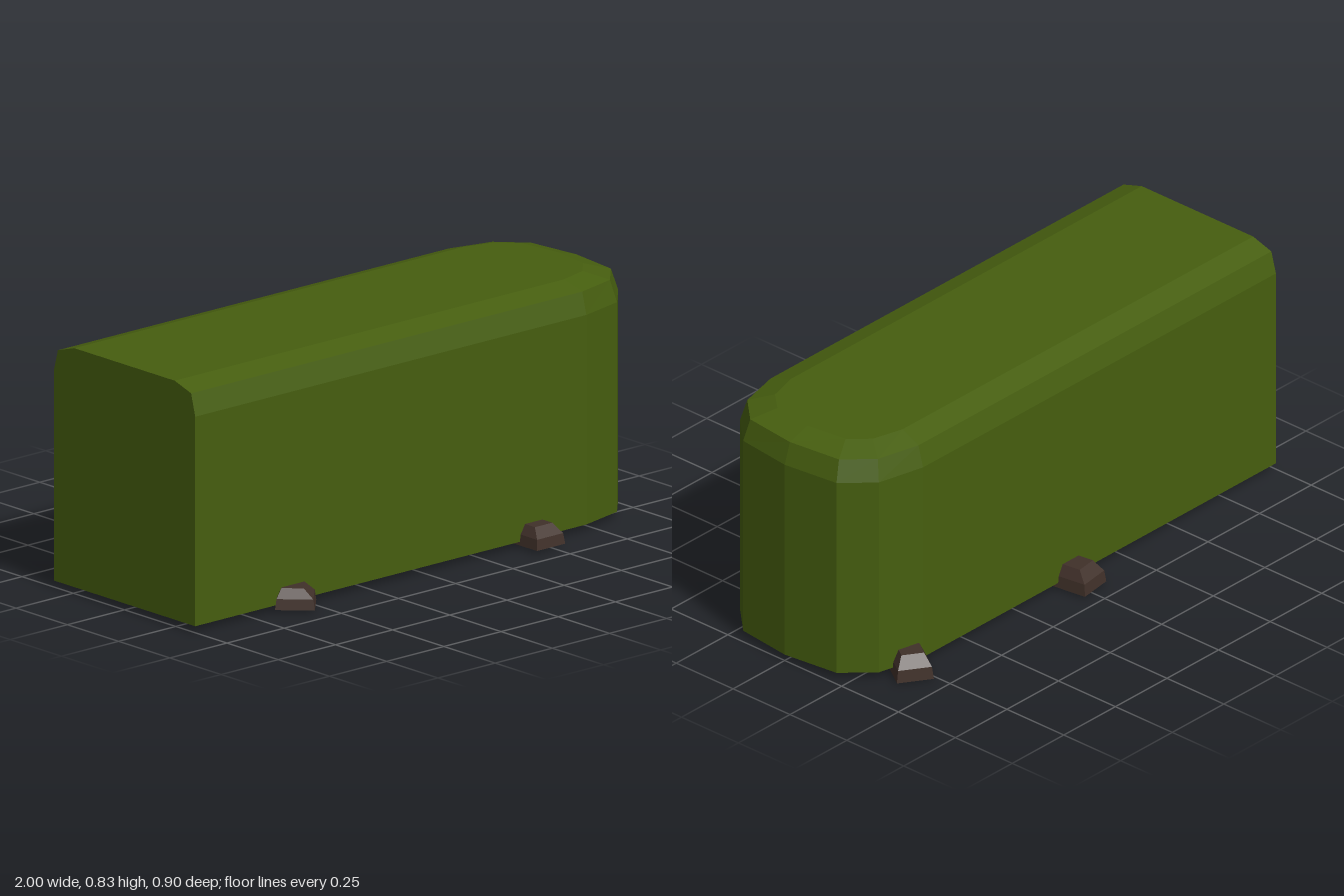
import * as THREE from 'three';

// Joins stacked rings of [x, z] points into a flat-faceted shell, closed on top, open below.
function loft(layers) {
  const pos = [];
  const tri = (...pts) => pts.forEach((p) => pos.push(...p));
  const rings = layers.map(({ y, pts }) => pts.map(([x, z]) => [x, y, z]));
  const n = rings[0].length;
  for (let k = 0; k < rings.length - 1; k++) {
    for (let i = 0; i < n; i++) {
      const j = (i + 1) % n;
      const [a, b, c, d] = [rings[k][i], rings[k][j], rings[k + 1][j], rings[k + 1][i]];
      tri(a, b, c);
      tri(a, c, d);
    }
  }
  const top = rings[rings.length - 1];
  for (let i = 1; i < n - 1; i++) tri(top[0], top[i], top[i + 1]);
  const geo = new THREE.BufferGeometry();
  geo.setAttribute('position', new THREE.Float32BufferAttribute(pos, 3));
  geo.computeVertexNormals();
  return geo;
}

// Mirrors the front half of an outline (ending on the centre line) to the back.
const mirrorZ = (half) => [...half, ...half.slice(0, -1).reverse().map(([x, z]) => [x, -z])];

const rect = (w, back, front) => [[-w, front], [w, front], [w, back], [-w, back]];

export function createModel() {
  const leaf = new THREE.MeshStandardMaterial({ color: 0x465e0f, side: THREE.DoubleSide, flatShading: true });
  leaf.name = 'leaf green';
  const rock = new THREE.MeshStandardMaterial({ color: 0x403029, side: THREE.DoubleSide, flatShading: true });
  rock.name = 'stone brown';

  const model = new THREE.Group();
  model.name = 'hedgeEnd';

  // Hedge: straight cut at -x, rounded at +x, bevelled top, hollow underneath
  const wall = mirrorZ([[-1, 0.345], [0.71, 0.345], [0.88, 0.305], [0.975, 0.205], [1, 0]]);
  const shoulder = mirrorZ([[-1, 0.325], [0.71, 0.325], [0.865, 0.287], [0.952, 0.195], [0.975, 0]]);
  const crown = mirrorZ([[-1, 0.245], [0.7, 0.245], [0.81, 0.215], [0.87, 0.15], [0.89, 0]]);
  const hedge = new THREE.Mesh(loft([
    { y: 0.022, pts: wall },
    { y: 0.735, pts: wall },
    { y: 0.81, pts: shoulder },
    { y: 0.835, pts: crown },
  ]), leaf);
  hedge.name = 'hedge';
  model.add(hedge);

  // Stones tucked under the edge of the hedge, each facing outwards
  const stoneGeo = loft([
    { y: 0, pts: rect(0.062, -0.065, 0.065) },
    { y: 0.036, pts: rect(0.057, -0.06, 0.06) },
    { y: 0.068, pts: rect(0.038, -0.045, 0.028) },
  ]);
  const stones = [
    // x, y, z, turn, height scale
    [-0.57, 0.01, 0.355, 0.8, 1],
    [0.48, 0.01, 0.365, 0, 1],
    [-0.01, 0.005, -0.378, Math.PI + 0.14, 1.15],
    [0.778, 0, -0.352, Math.PI - 0.59, 1.2],
  ];
  stones.forEach(([x, y, z, turn, h], i) => {
    const stone = new THREE.Mesh(stoneGeo, rock);
    stone.name = `stone${i + 1}`;
    stone.position.set(x, y, z);
    stone.rotation.y = turn;
    stone.scale.y = h;
    model.add(stone);
  });

  return model;
}
